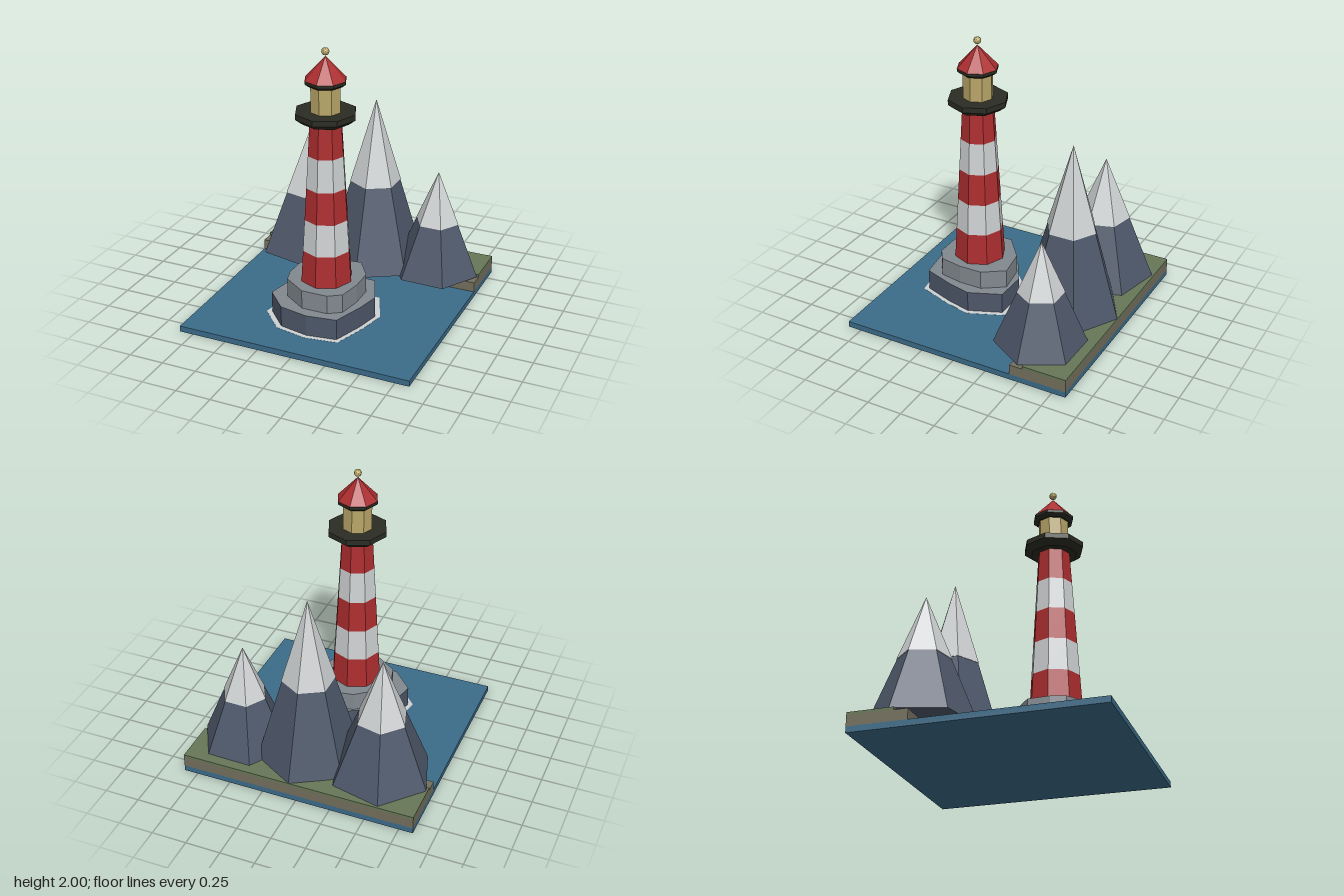
import * as THREE from 'three';

const material = (name, color) => {
  const m = new THREE.MeshStandardMaterial({ color, flatShading: true });
  m.name = name;
  return m;
};

export function createModel() {
  const water = material('water blue', 0x3b6b88);
  const earth = material('earth brown', 0x736f5d);
  const grass = material('grass green', 0x677657);
  const slate = material('slate', 0x4e586a);
  const stone = material('stone grey', 0x82898f);
  const white = material('white', 0xcfd2d3);
  const red = material('red', 0xac2d2f);
  const iron = material('dark iron', 0x2b2c22);
  const glow = material('lamp yellow', 0xbaa668);

  const model = new THREE.Group();
  model.name = 'lighthouseIsland';

  const add = (parent, name, geometry, mat, x = 0, y = 0, z = 0) => {
    const mesh = new THREE.Mesh(geometry, mat);
    mesh.name = name;
    mesh.position.set(x, y, z);
    parent.add(mesh);
    return mesh;
  };
  const box = (name, mat, y0, y1, z0, z1) =>
    add(model, name, new THREE.BoxGeometry(1.7, y1 - y0, z1 - z0), mat, 0, (y0 + y1) / 2, (z0 + z1) / 2);
  // Faceted ring standing between two heights
  const drum = (parent, name, mat, y0, y1, r0, r1, sides = 8) =>
    add(parent, name, new THREE.CylinderGeometry(r1, r0, y1 - y0, sides), mat, 0, (y0 + y1) / 2, 0);

  // Sea and shore
  const seaTop = 0.0425;
  box('sea', water, 0, seaTop, -0.85, 0.85);
  box('shore', earth, seaTop, 0.116, -0.85, -0.435);
  box('grassLayer', grass, 0.116, 0.137, -0.85, -0.53);

  // Six-sided mountains with snow caps: x, z, radius, top, snow line, turn
  [
    ['leftPeak', 0.53, -0.5, 0.32, 0.905, 0.525, 0.5],
    ['middlePeak', 0.05, -0.484, 0.366, 1.39, 0.77, 0],
    ['rightPeak', -0.484, -0.487, 0.366, 1.05, 0.6, 0.3],
  ].forEach(([name, x, z, r, top, snow, turn]) => {
    const peak = new THREE.Group();
    peak.name = name;
    peak.position.set(x, 0, z);
    peak.rotation.y = turn;
    const base = 0.137;
    const rSnow = (r * (top - snow)) / (top - base);
    drum(peak, 'mountainside', slate, base, top, r, 0, 6);
    drum(peak, 'snowCap', white, snow, top + 0.004, rSnow * 1.025, 0, 6);
    model.add(peak);
  });

  // Lighthouse group, centred on its rock
  const lighthouse = new THREE.Group();
  lighthouse.name = 'lighthouse';
  lighthouse.position.set(0, 0, 0.268);
  model.add(lighthouse);

  // Irregular slabs cut from [x, z] outlines
  const slab = (name, outline, scale, y0, y1, mat) => {
    const shape = new THREE.Shape(outline.map(([x, z]) => new THREE.Vector2(x * scale, -z * scale)));
    const geometry = new THREE.ExtrudeGeometry(shape, { depth: y1 - y0, bevelEnabled: false });
    add(lighthouse, name, geometry.rotateX(-Math.PI / 2), mat, 0, y0, 0);
  };
  const lowerOutline = [
    [0, 0.34], [0.213, 0.31], [0.29, 0.092], [0.332, -0.085], [0.237, -0.312],
    [0, -0.318], [-0.17, -0.222], [-0.313, -0.087], [-0.36, 0.136], [-0.209, 0.297],
  ];
  const upperOutline = [
    [0.136, -0.292], [0.24, -0.14], [0.24, 0.03], [0.208, 0.195], [0.118, 0.255],
    [-0.07, 0.255], [-0.236, 0.14], [-0.263, 0.036], [-0.258, -0.118], [-0.077, -0.26],
  ];
  slab('foam', lowerOutline, 1.1, seaTop, seaTop + 0.001, white);
  slab('lowerRock', lowerOutline, 1, seaTop, 0.195, [stone, slate]);
  slab('upperRock', upperOutline, 1, 0.195, 0.33, stone);

  // Tapering striped tower
  const bands = 5, y0 = 0.329, y1 = 1.49, r0 = 0.185, r1 = 0.114;
  const lerp = THREE.MathUtils.lerp;
  for (let i = 0; i < bands; i++) {
    const a = i / bands, b = (i + 1) / bands;
    drum(lighthouse, 'towerBand' + (i + 1), i % 2 ? white : red,
      lerp(y0, y1, a), lerp(y0, y1, b), lerp(r0, r1, a), lerp(r0, r1, b));
  }

  // Gallery, lantern room and roof
  drum(lighthouse, 'galleryUnderside', iron, 1.49, 1.527, 0.165, 0.2125);
  drum(lighthouse, 'galleryDeck', iron, 1.527, 1.565, 0.2125, 0.2125);
  drum(lighthouse, 'lanternRoom', glow, 1.565, 1.745, 0.106, 0.106);
  drum(lighthouse, 'eavesUnderside', iron, 1.745, 1.765, 0.12, 0.145);
  drum(lighthouse, 'eaves', iron, 1.765, 1.785, 0.145, 0.145);
  drum(lighthouse, 'roof', red, 1.785, 1.942, 0.143, 0);
  add(lighthouse, 'finial', new THREE.IcosahedronGeometry(0.027, 1), glow, 0, 1.973, 0);

  return model;
}
